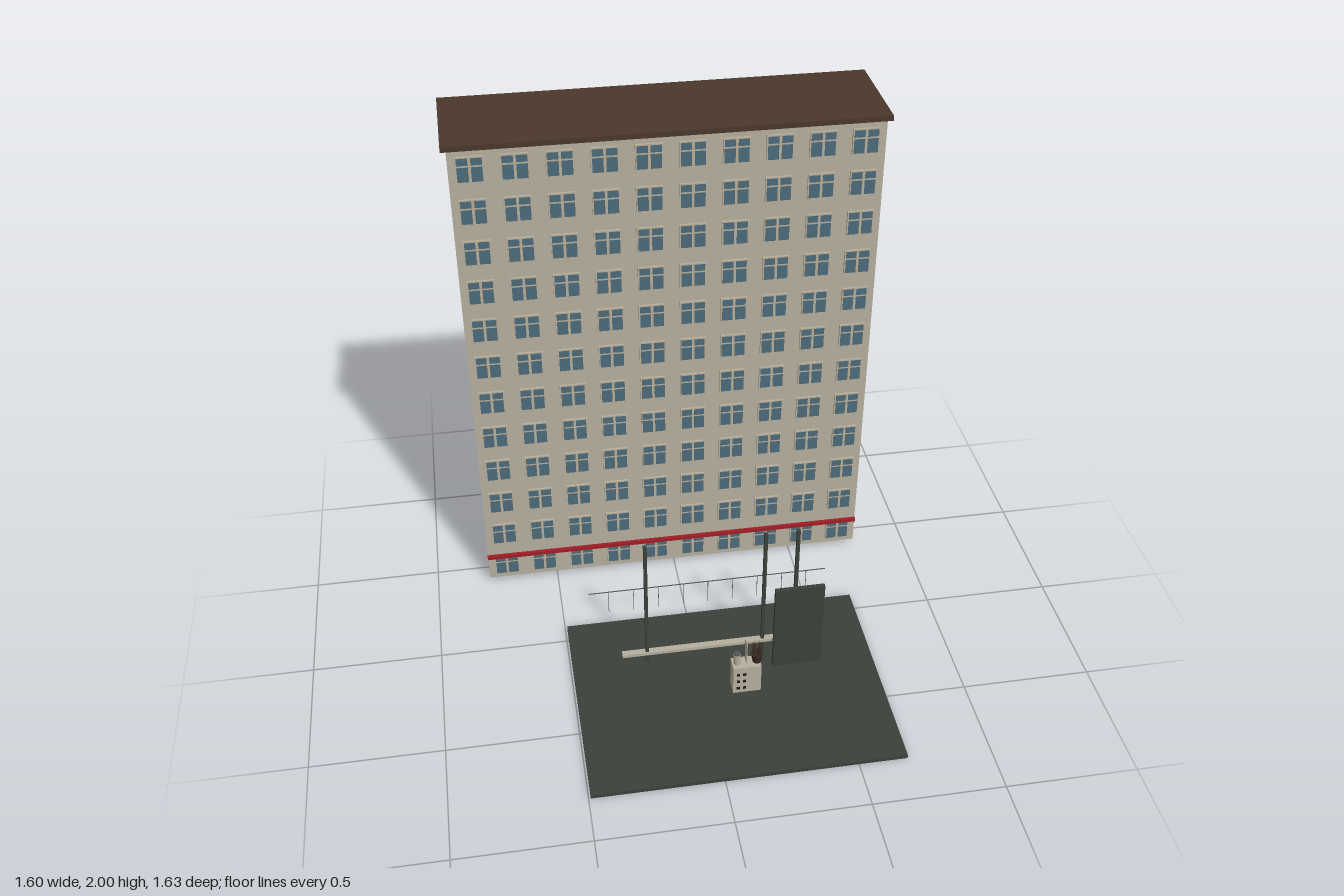
import * as THREE from 'three';
import { mergeGeometries } from 'three/addons/utils/BufferGeometryUtils.js';

const material = (name, color) => {
  const m = new THREE.MeshStandardMaterial({ color });
  m.name = name;
  return m;
};

// Box given by its min and max on each axis
function span(x0, x1, y0, y1, z0, z1) {
  return new THREE.BoxGeometry(x1 - x0, y1 - y0, z1 - z0)
    .translate((x0 + x1) / 2, (y0 + y1) / 2, (z0 + z1) / 2);
}

export function createModel() {
  const root = new THREE.Group();
  root.name = 'apartmentBlockAndYard';
  const wall = material('concrete', 0xb5af9e);
  const trim = material('windowFrame', 0xb9ae98);
  const glass = material('glass', 0x4c6b7c);
  const brown = material('roofBrown', 0x4b382b);
  const red = material('red', 0xa11d26);
  const dark = material('darkGreen', 0x3b413a);
  const metal = material('railMetal', 0x55585a);
  const black = material('black', 0x1e1c1a);
  const soil = material('plantBrown', 0x3a2a20);

  const add = (name, geometry, mat, parent = root) => {
    const mesh = new THREE.Mesh(Array.isArray(geometry) ? mergeGeometries(geometry) : geometry, mat);
    mesh.name = name;
    parent.add(mesh);
    return mesh;
  };

  // Apartment block
  const block = new THREE.Group();
  block.name = 'apartmentBlock';
  root.add(block);
  add('walls', span(-0.783, 0.783, 0.022, 1.983, -0.803, -0.406), wall, block);
  add('roof', span(-0.802, 0.802, 1.98, 2, -0.815, -0.398), brown, block);
  add('redBand', span(-0.785, 0.783, 0.131, 0.146, -0.408, -0.392), red, block);

  // Windows: two tall panes below a transom, two small panes above
  const frames = [], panes = [];
  for (let row = 0; row < 12; row++) {
    for (let col = 0; col < 10; col++) {
      const x = -0.707 + col * 0.1571, y = 0.095 + row * 0.1648;
      frames.push(span(x - 0.05, x + 0.05, y - 0.05, y + 0.05, -0.408, -0.397));
      for (const s of [-1, 1]) {
        const a = x + s * 0.005, b = x + s * 0.045;
        const x0 = Math.min(a, b), x1 = Math.max(a, b);
        panes.push(span(x0, x1, y - 0.045, y + 0.011, -0.398, -0.396));
        panes.push(span(x0, x1, y + 0.018, y + 0.045, -0.398, -0.396));
      }
    }
  }
  add('windowFrames', frames, trim, block);
  add('windowPanes', panes, glass, block);

  // Yard slab
  add('yardSlab', span(-0.492, 0.684, 0, 0.016, -0.067, 0.812), dark);

  // Thin railing between yard and block
  const rail = [span(-0.395, 0.585, 0.132, 0.135, -0.1165, -0.1135)];
  for (let i = 0; i < 9; i++) {
    const x = -0.315 + i * 0.1025;
    rail.push(span(x - 0.001, x + 0.001, 0.025, 0.133, -0.116, -0.114));
  }
  add('railing', rail, metal);

  // Long bar with posts passing through it
  add('longBar', span(-0.296, 0.49, 0.058, 0.071, 0.164, 0.19), wall);
  add('posts', [-0.198, 0.263, 0.388].map(x =>
    span(x - 0.0065, x + 0.0065, 0.016, 0.61, 0.17, 0.184)), dark);

  // Upright panel
  add('uprightPanel', span(0.284, 0.476, 0.016, 0.41, 0.268, 0.285), dark);

  // Pedestal with small openings on its front
  const stand = new THREE.Group();
  stand.name = 'pedestal';
  root.add(stand);
  add('pedestalBlock', span(0.104, 0.213, 0.016, 0.145, 0.342, 0.402), wall, stand);
  const holes = [];
  for (const y of [0.04, 0.075, 0.11]) {
    for (const x of [0.124, 0.148]) holes.push(span(x - 0.006, x + 0.006, y - 0.006, y + 0.006, 0.4, 0.404));
  }
  add('pedestalOpenings', holes, black, stand);

  // Cup, card and potted plant on top
  add('cup', new THREE.CylinderGeometry(0.014, 0.013, 0.045, 16).translate(0.123, 0.1675, 0.371), trim, stand);
  add('cupRim', new THREE.CylinderGeometry(0.012, 0.012, 0.01, 16).translate(0.123, 0.193, 0.371), metal, stand);
  add('card', span(0.158, 0.161, 0.145, 0.246, 0.346, 0.381), wall, stand);
  add('plantPot', new THREE.CylinderGeometry(0.024, 0.016, 0.042, 12).translate(0.2, 0.166, 0.372), soil, stand);
  const leaves = [];
  for (let i = 0; i < 7; i++) {
    const a = i * 2.4, lean = i === 0 ? 0 : 0.3;
    leaves.push(new THREE.ConeGeometry(0.006, 0.05, 5).translate(0, 0.025, 0)
      .rotateZ(-lean).rotateY(a).translate(0.2 + Math.cos(a) * 0.009, 0.185, 0.372 - Math.sin(a) * 0.009));
  }
  add('plantLeaves', leaves, soil, stand);
  return root;
}
